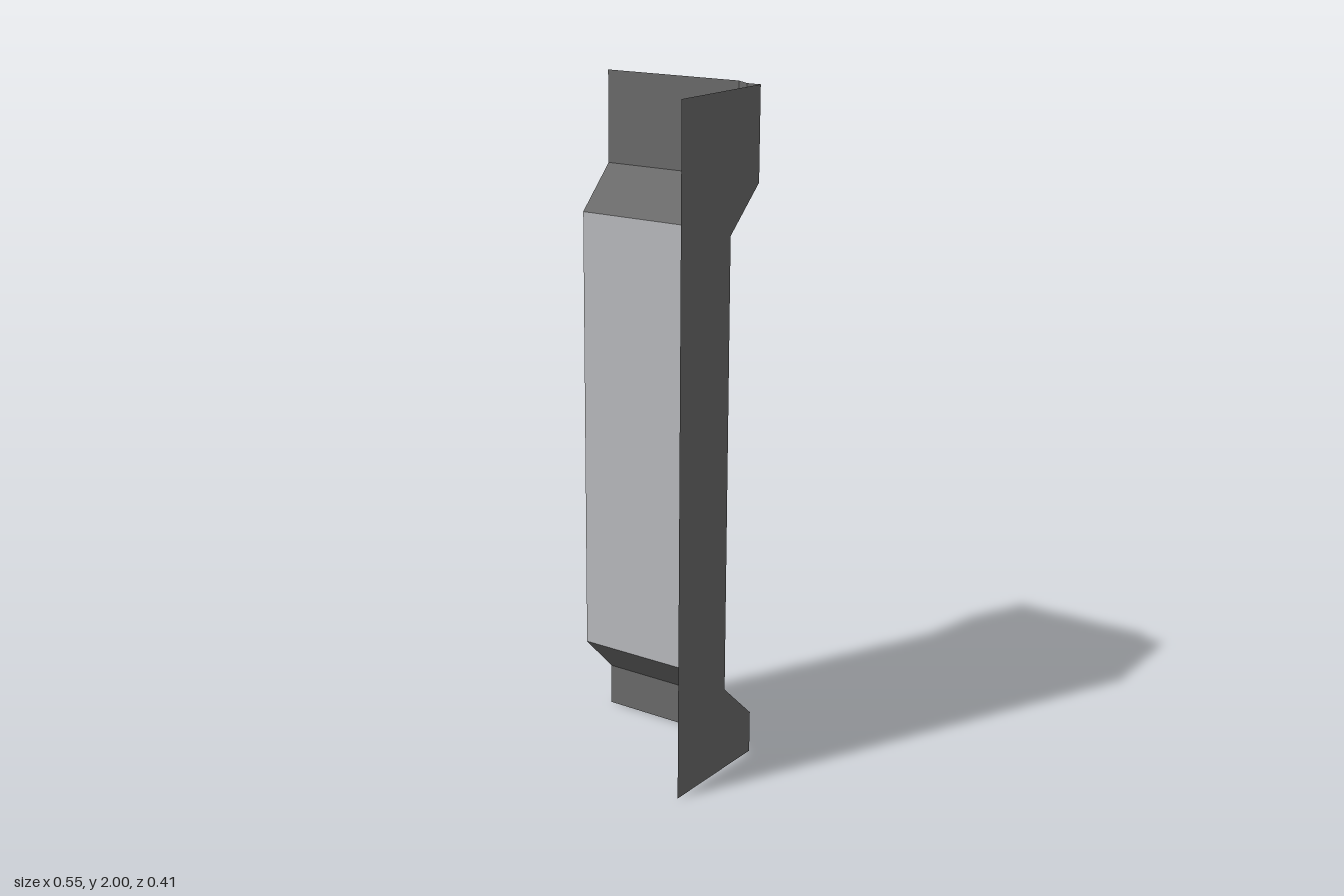
import * as THREE from 'three';

const darkMetal = new THREE.MeshStandardMaterial({ color: 0x6a6a6a, side: THREE.DoubleSide });
darkMetal.name = 'dark grey';
const lightPanel = new THREE.MeshStandardMaterial({ color: 0xb9babd, side: THREE.DoubleSide });
lightPanel.name = 'light grey';

// Plan section of the folded sheet: x, z at the ends, z in the recessed middle
const section = [
  [-0.273, -0.207, -0.082],
  [0.178, -0.207, -0.082],
  [0.228, -0.172, -0.032],
  [0.272, -0.172, -0.032],
  [0.272, 0.207, 0.207],
];
const folds = ['panel', 'chamfer', 'flange', 'sidePlate'];

// Heights, whether the section is recessed there
const stations = [[0, 0], [0.127, 0], [0.253, 1], [1.603, 1], [1.73, 0], [2, 0]];
const bands = ['lowerLip', 'lowerSlope', 'middle', 'upperSlope', 'upperLip'];

function point(i, j) {
  const [x, zEnd, zMiddle] = section[i];
  const [y, recessed] = stations[j];
  return [x, y, recessed ? zMiddle : zEnd];
}

// One flat facet of the sheet, facing outward
function facet(i, j) {
  const a = point(i, j), b = point(i + 1, j), c = point(i + 1, j + 1), d = point(i, j + 1);
  const geometry = new THREE.BufferGeometry();
  geometry.setAttribute('position', new THREE.Float32BufferAttribute([a, c, b, a, d, c].flat(), 3));
  geometry.computeVertexNormals();
  return geometry;
}

export function createModel() {
  const model = new THREE.Group();
  model.name = 'foldedWallPanel';
  bands.forEach((band, j) => {
    const group = new THREE.Group();
    group.name = band;
    folds.forEach((fold, i) => {
      // Only the recessed panel and its chamfer are light
      const light = band === 'middle' && i < 2;
      const mesh = new THREE.Mesh(facet(i, j), light ? lightPanel : darkMetal);
      mesh.name = fold;
      group.add(mesh);
    });
    model.add(group);
  });
  return model;
}
